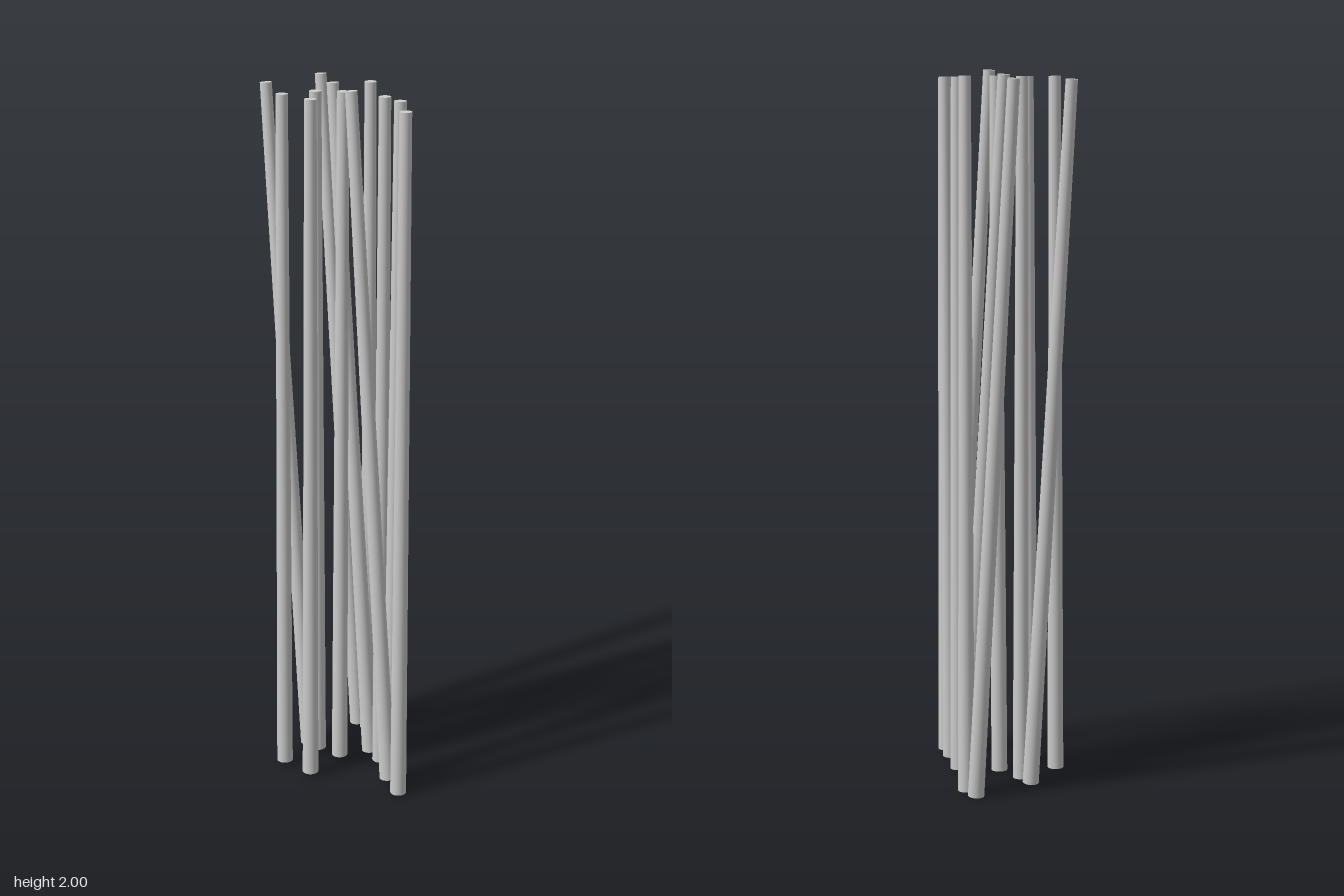
import * as THREE from 'three';

const TOP_RADIUS = 0.0165;
const BOTTOM_RADIUS = 0.023;

// One tapered pole running between the centres of its two end discs
function makePole(name, bottom, top, material) {
  const a = new THREE.Vector3(...bottom);
  const b = new THREE.Vector3(...top);
  const axis = b.clone().sub(a);
  const geometry = new THREE.CylinderGeometry(TOP_RADIUS, BOTTOM_RADIUS, axis.length(), 32);
  const pole = new THREE.Mesh(geometry, material);
  pole.name = name;
  pole.position.copy(a).add(b).multiplyScalar(0.5);
  pole.quaternion.setFromUnitVectors(new THREE.Vector3(0, 1, 0), axis.normalize());
  return pole;
}

export function createModel() {
  const model = new THREE.Group();
  model.name = 'poleCluster';
  const material = new THREE.MeshStandardMaterial({ color: 0xcccccc });

  // Upright poles: [x, z]
  const uprights = [[-0.033, -0.073], [0.16, -0.073], [0.06, 0.102], [-0.022, 0.277]];
  uprights.forEach(([x, z], i) => {
    model.add(makePole(`uprightPole${i + 1}`, [x, 0.005, z], [x, 1.98, z], material));
  });

  // Poles leaning backwards: foot [x, y, z]
  const backLeaners = [[-0.033, 0.002, -0.119], [0.16, 0.002, -0.119], [0.06, 0.016, 0.055], [-0.022, 0.031, 0.23]];
  backLeaners.forEach(([x, y, z], i) => {
    model.add(makePole(`backLeaningPole${i + 1}`, [x, y, z], [x, y + 1.968, z - 0.168], material));
  });

  // Poles leaning slightly to the left and back: foot [x, z]
  const sideLeaners = [[-0.162, -0.07], [-0.146, 0.03], [-0.018, 0.009], [0.018, 0.198]];
  sideLeaners.forEach(([x, z], i) => {
    model.add(makePole(`sideLeaningPole${i + 1}`, [x, 0.01, z], [x + 0.03, 1.982, z - 0.021], material));
  });

  return model;
}
